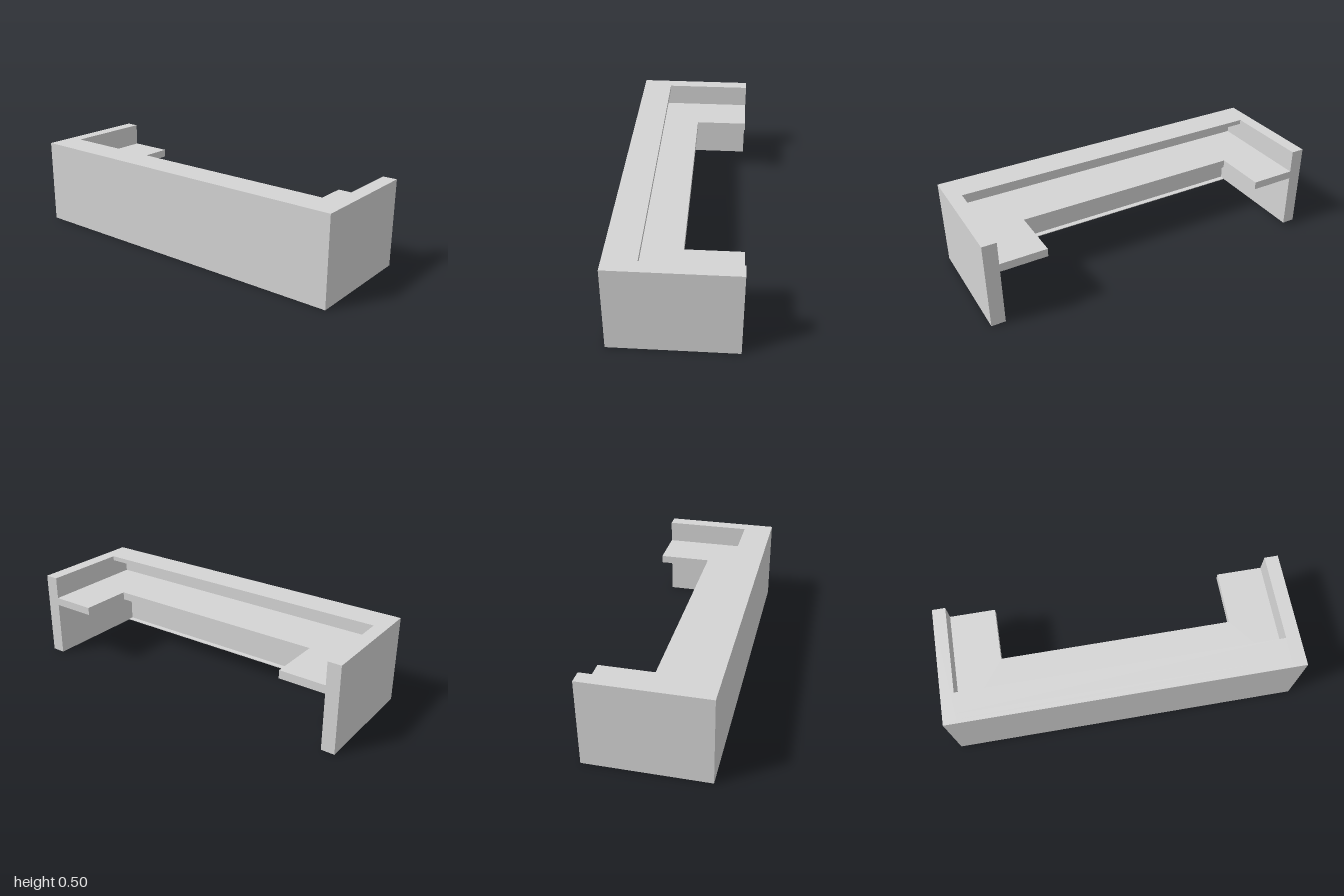
import * as THREE from 'three';

const D = 0.339, H = 0.496;        // half depth, height
const LEFT = 0.921, RIGHT = -0.925; // inner faces of the side panels
const SKIN_Z = 0.316;              // inner face of the thin front panel
const WALL_Z = 0.284;              // inner face of its thicker upper part and foot
const TOP_LOW = 0.321, TOP_HIGH = 0.367;

// Extrudes a plan outline of [x, z] points upward from y0 to y1
function slab(name, points, y0, y1, material) {
  const shape = new THREE.Shape(points.map(([x, z]) => new THREE.Vector2(x, -z)));
  const geometry = new THREE.ExtrudeGeometry(shape, { depth: y1 - y0, bevelEnabled: false });
  geometry.rotateX(-Math.PI / 2).translate(0, y0, 0);
  const mesh = new THREE.Mesh(geometry, material);
  mesh.name = name;
  return mesh;
}

// Plan of a strip along the front, between the side panels
const frontStrip = (z0, z1) => [[RIGHT, z1], [LEFT, z1], [LEFT, z0], [RIGHT, z0]];

// U-shaped plan, open at the back
const uPlan = (right, left, z, innerRight, innerLeft, innerZ) => [
  [left, z], [left, -D], [innerLeft, -D], [innerLeft, innerZ],
  [innerRight, innerZ], [innerRight, -D], [right, -D], [right, z],
];

export function createModel() {
  const grey = new THREE.MeshStandardMaterial({ color: 0xd4d4d4 });
  grey.name = 'lightGrey';

  const desk = new THREE.Group();
  desk.name = 'receptionDesk';
  desk.add(
    // Front and side panels
    slab('panels', uPlan(-1, 1, D, RIGHT, LEFT, SKIN_Z), 0, H, grey),
    // Thin foot strip along the bottom of the front panel
    slab('footStrip', frontStrip(WALL_Z, SKIN_Z), 0, 0.004, grey),
    // Thicker wall above the worktop
    slab('upperWall', frontStrip(WALL_Z, SKIN_Z), TOP_HIGH, H, grey),
    // U-shaped worktop inside the panels
    slab('worktop', uPlan(RIGHT, LEFT, SKIN_Z, -0.664, 0.66, -0.032), TOP_LOW, TOP_HIGH, grey),
    // Raised counter ledge overhanging the worktop
    slab('counterLedge', frontStrip(0.165, WALL_Z), H - 0.027, H, grey),
  );
  return desk;
}
